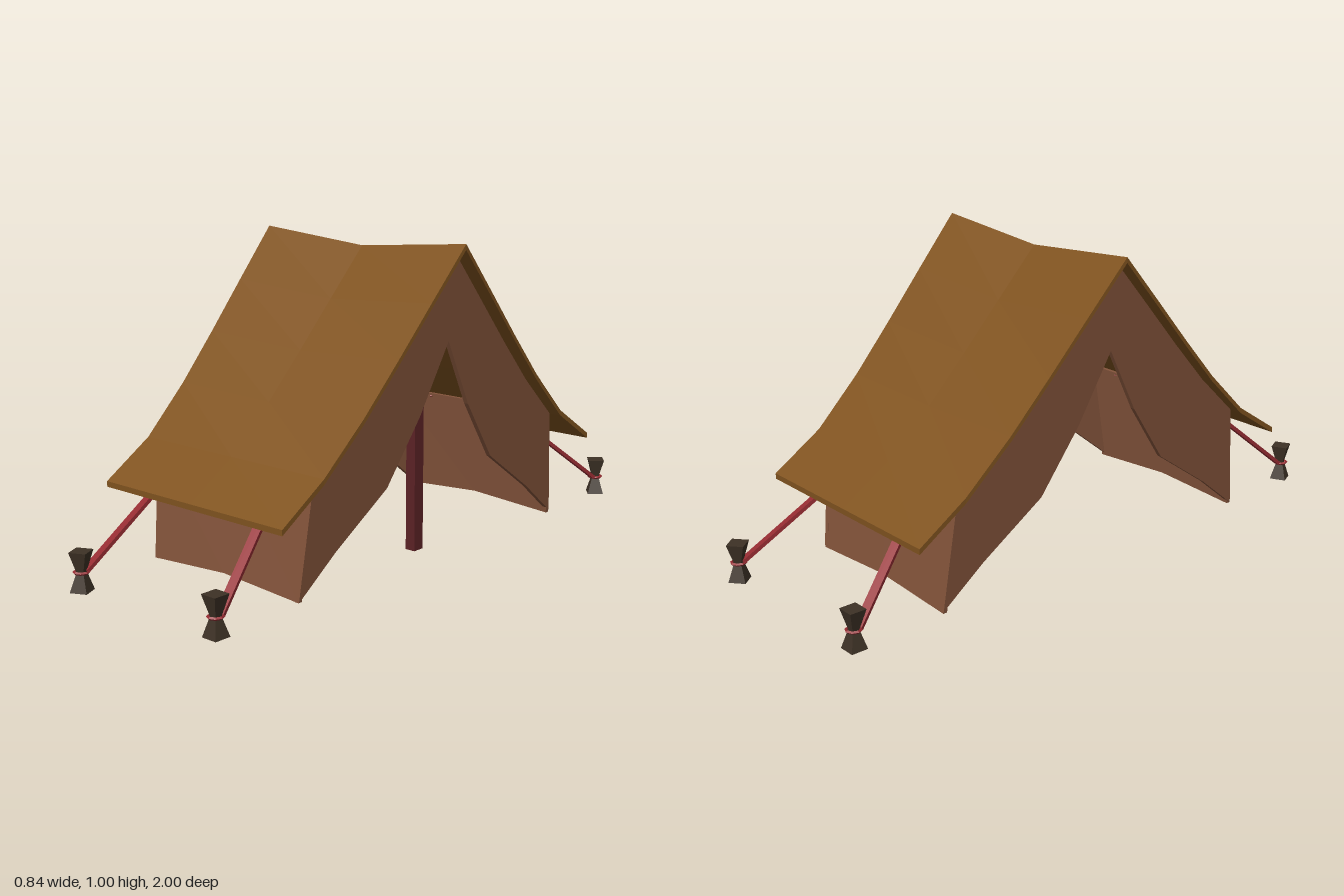
import * as THREE from 'three';

const mat = (color) => new THREE.MeshStandardMaterial({ color, flatShading: true });
const canvas = mat(0x80531f), cloth = mat(0x84543b), strap = mat(0x962c32);
const poleWood = mat(0x5c2226), stakeWood = mat(0x3e3226);

// Closed slab between two matching grids of points (rows of [x, y, z])
function slab(outer, inner) {
  const nr = outer.length, nc = outer[0].length;
  const pos = [...outer.flat(), ...inner.flat()];
  const id = (s, r, c) => s * nr * nc + r * nc + c;
  const index = [];
  const quad = (a, b, c, d) => index.push(a, b, c, a, c, d);
  for (let r = 0; r < nr - 1; r++) {
    for (let c = 0; c < nc - 1; c++) {
      quad(id(0, r, c), id(0, r + 1, c), id(0, r + 1, c + 1), id(0, r, c + 1));
      quad(id(1, r, c), id(1, r, c + 1), id(1, r + 1, c + 1), id(1, r + 1, c));
    }
    quad(id(0, r, 0), id(1, r, 0), id(1, r + 1, 0), id(0, r + 1, 0));
    quad(id(0, r, nc - 1), id(0, r + 1, nc - 1), id(1, r + 1, nc - 1), id(1, r, nc - 1));
  }
  for (let c = 0; c < nc - 1; c++) {
    quad(id(0, 0, c), id(0, 0, c + 1), id(1, 0, c + 1), id(1, 0, c));
    quad(id(0, nr - 1, c), id(1, nr - 1, c), id(1, nr - 1, c + 1), id(0, nr - 1, c + 1));
  }
  // Turn the faces outward if the enclosed volume comes out negative
  let volume = 0;
  const v = (i) => new THREE.Vector3(...pos[i]);
  for (let i = 0; i < index.length; i += 3)
    volume += v(index[i]).dot(v(index[i + 1]).cross(v(index[i + 2])));
  if (volume < 0) index.reverse();
  const g = new THREE.BufferGeometry();
  g.setAttribute('position', new THREE.Float32BufferAttribute(pos.flat(), 3));
  g.setIndex(index);
  const flat = g.toNonIndexed();
  flat.computeVertexNormals();
  return flat;
}

// Profile from ridge to one edge, mirrored across z = 0
const mirrorZ = (half) => [...half.slice(1).reverse().map(([z, y]) => [-z, y]), ...half];

// Half width of the end walls, which lean outward toward the ridge
const wallX = (y) => 0.315 + 0.06 * y;

export function createModel() {
  const model = new THREE.Group();
  const add = (name, geometry, material, parent = model) => {
    const mesh = new THREE.Mesh(geometry, material);
    mesh.name = name;
    parent.add(mesh);
    return mesh;
  };

  // Roof sheet: sagging ridge, narrower toward the eaves
  const roofLine = mirrorZ([[0, 1.005], [0.15, 0.84], [0.29, 0.685], [0.43, 0.535], [0.59, 0.385], [0.76, 0.275]]);
  const roofGrid = (drop) => roofLine.map(([z, y]) => {
    const t = Math.max(0, (y - 0.385) / 0.62);
    return [-1, 0, 1].map((s) => [s * (0.38 + 0.04 * t), y - drop - (s ? 0 : 0.035 * t), z]);
  });
  add('roof', slab(roofGrid(0), roofGrid(0.018)), canvas);

  // End walls: bands between the roof line and the doorway
  const topLine = mirrorZ([[0, 0.982], [0.15, 0.817], [0.29, 0.662], [0.43, 0.513], [0.588, 0.368]]);
  const doorLine = mirrorZ([[0, 0.7], [0.12, 0.48], [0.26, 0.28], [0.48, 0.13], [0.63, 0.01]]);
  for (const side of [1, -1]) {
    const grid = (inset) => topLine.map((p, i) =>
      [p, doorLine[i]].map(([z, y]) => [side * (wallX(y) - inset), y, z]));
    add(side > 0 ? 'leftEndWall' : 'rightEndWall', slab(grid(0), grid(0.016)), cloth);
  }

  // Low front and back walls, hem raised in the middle
  for (const side of [1, -1]) {
    const hem = side > 0 ? 0.01 : 0.003;
    const grid = (inset) => [0.368, hem].map((y, row) => [-1, 0, 1].map((s) =>
      [s * (wallX(y) - 0.002), y + (row && !s ? 0.02 : 0), side * ((row ? 0.63 : 0.588) - inset)]));
    add(side > 0 ? 'frontWall' : 'backWall', slab(grid(0), grid(0.014)), cloth);
  }

  // Single pole under the ridge
  const pole = add('pole', new THREE.BoxGeometry(0.036, 0.96, 0.042), poleWood);
  pole.position.set(0.225, 0.482, 0);

  // Hourglass stakes, each with a loop and a flat guy strap: x, z, turn, strap top x
  const stakeGeometry = new THREE.LatheGeometry(
    [[0, 0], [0.039, 0], [0.016, 0.06], [0.039, 0.125], [0, 0.125]].map((p) => new THREE.Vector2(...p)), 4);
  stakeGeometry.rotateY(Math.PI / 4);
  const loopGeometry = new THREE.TorusGeometry(0.022, 0.005, 4, 8).rotateX(Math.PI / 2);
  const stakes = [
    [0.31, 0.95, 0, 0.2], [-0.26, 0.962, 0.45, -0.205],
    [-0.31, -0.945, 0, -0.165], [0.29, -0.962, 0.7, 0.145],
  ];
  for (const [x, z, turn, topX] of stakes) {
    const anchor = new THREE.Group();
    anchor.name = 'guyLine';
    model.add(anchor);
    const stake = add('stake', stakeGeometry, stakeWood, anchor);
    stake.position.set(x, 0, z);
    stake.rotation.y = turn;
    add('loop', loopGeometry, strap, anchor).position.set(x, 0.06, z);
    const low = new THREE.Vector3(x, 0.06, z - Math.sign(z) * 0.015);
    const high = new THREE.Vector3(topX, 0.362, Math.sign(z) * 0.58);
    const line = add('strap', new THREE.BoxGeometry(0.028, 0.012, low.distanceTo(high)), strap, anchor);
    line.position.copy(low).lerp(high, 0.5);
    line.lookAt(high);
  }
  return model;
}
